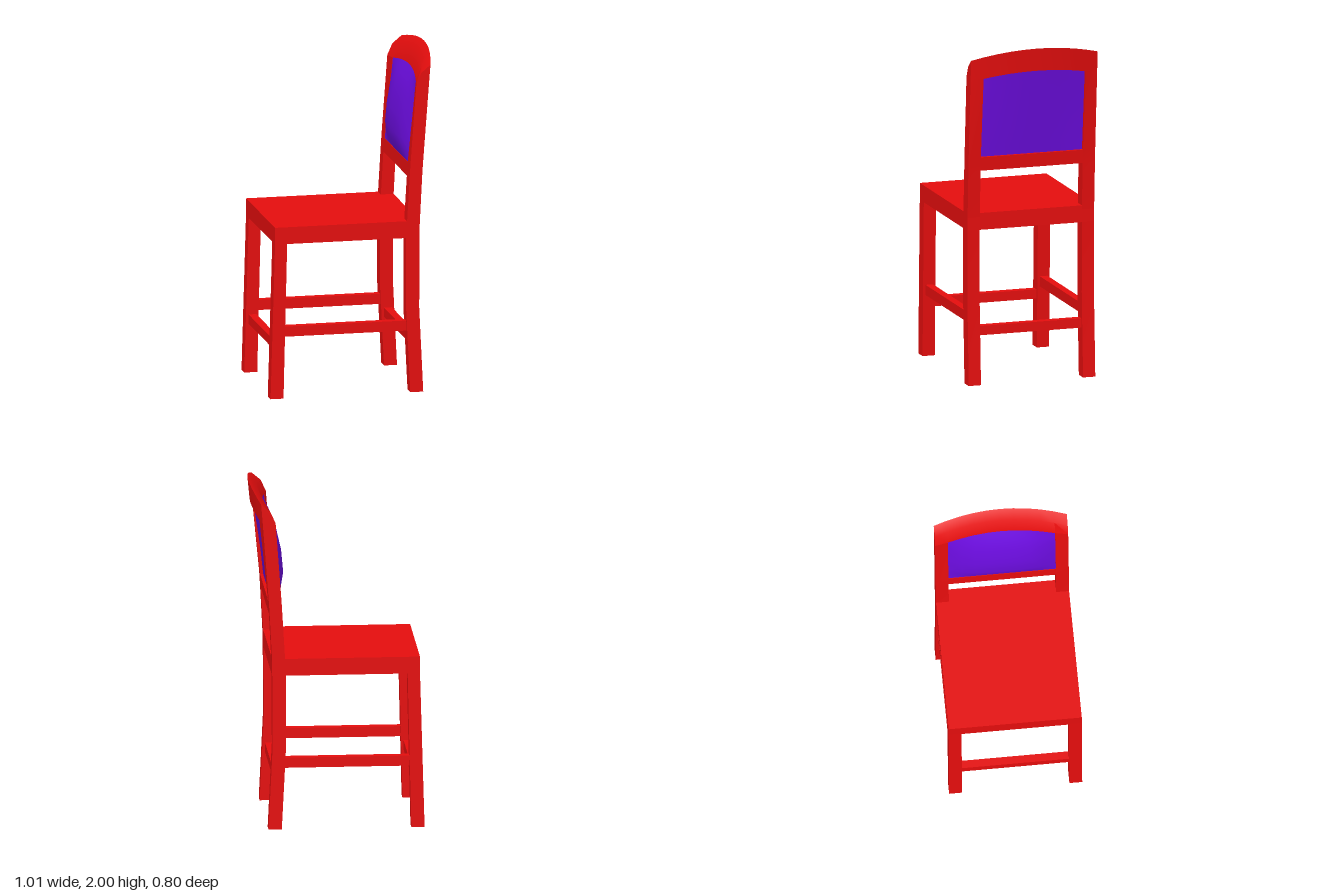
import * as THREE from 'three';
import { toCreasedNormals } from 'three/addons/utils/BufferGeometryUtils.js';

const W = 0.388;      // half width of the chair
const IN = 0.313;     // inner face of legs and posts
const RAIL_TOP = 1.355, POST_TOP = 1.833;

// back post profile: [y, front x, rear x]
const POST = [
  [0, 0.334, 0.411], [0.5, 0.309, 0.387], [0.95, 0.309, 0.388], [1.02, 0.315, 0.391],
  [1.275, 0.33, 0.404], [RAIL_TOP, 0.335, 0.409], [POST_TOP, 0.37, 0.445], [2, 0.383, 0.458],
];

function postX(y, k) {
  let i = 0;
  while (i < POST.length - 2 && POST[i + 1][0] < y) i++;
  const a = POST[i], b = POST[i + 1];
  return THREE.MathUtils.mapLinear(y, a[0], b[0], a[k], b[k]);
}

// backward curve of the backrest, growing with height
function bow(x, y, z) {
  const h = THREE.MathUtils.clamp((y - RAIL_TOP) / 0.59, 0, 1);
  return [x + 0.048 * h * (1 - (z / W) ** 2), y, z];
}

// skin a closed solid over rings of equal point count
function loft(rings) {
  const n = rings[0].length, pos = [];
  const tri = (...p) => p.forEach((v) => pos.push(...v));
  for (let i = 0; i < rings.length - 1; i++) {
    for (let j = 0; j < n; j++) {
      const k = (j + 1) % n, a = rings[i], b = rings[i + 1];
      tri(a[j], a[k], b[k]);
      tri(a[j], b[k], b[j]);
    }
  }
  const s = rings[0], e = rings[rings.length - 1];
  for (let j = 1; j < n - 1; j++) {
    tri(s[0], s[j + 1], s[j]);
    tri(e[0], e[j], e[j + 1]);
  }
  const g = new THREE.BufferGeometry();
  g.setAttribute('position', new THREE.Float32BufferAttribute(pos, 3));
  return toCreasedNormals(g, 0.55);
}

export function createModel() {
  const chair = new THREE.Group();
  chair.name = 'chair';
  const red = new THREE.MeshStandardMaterial({ color: 0xe40d0d });
  const purple = new THREE.MeshStandardMaterial({ color: 0x6a0cdc });

  const add = (name, geometry, material = red) => {
    const mesh = new THREE.Mesh(geometry, material);
    mesh.name = name;
    chair.add(mesh);
  };
  const box = (name, x0, x1, y0, y1, z0, z1) => add(name,
    new THREE.BoxGeometry(x1 - x0, y1 - y0, z1 - z0)
      .translate((x0 + x1) / 2, (y0 + y1) / 2, (z0 + z1) / 2));
  // upright bar from levels of [y, front x, rear x]
  const upright = (name, levels, z0, z1) => add(name, loft(levels.map(([y, f, r]) =>
    [[f, z1], [r, z1], [r, z0], [f, z0]].map(([x, z]) => bow(x, y, z)))));

  box('seat', -0.47, 0.39, 0.92, 1.02, -W, W);

  // legs, back posts and side stretchers on both sides
  for (const [side, z0, z1] of [['near', IN, W], ['far', -W, -IN]]) {
    upright(side + 'FrontLeg', [[0, -0.497, -0.42], [0.93, -0.47, -0.398]], z0, z1);
    upright(side + 'BackPost', POST.slice(0, -1), z0, z1);
    const zc = (z0 + z1) / 2;
    box(side + 'SideStretcher', -0.43, 0.34, 0.365, 0.425, zc - 0.023, zc + 0.023);
  }

  // cross stretchers
  box('frontStretcher', -0.472, -0.426, 0.29, 0.345, -IN, IN);
  box('backStretcher', 0.334, 0.38, 0.29, 0.345, -IN, IN);

  // lower rail of the backrest
  add('lowerBackRail', loft([-IN, IN].map((z) => [
    [postX(1.275, 1), 1.275, z], [postX(1.275, 2), 1.275, z],
    [postX(RAIL_TOP, 2), RAIL_TOP, z], [postX(RAIL_TOP, 1), RAIL_TOP, z],
  ])));

  // arched crest rail, its front sloping back to a thin upper edge
  const crestBottom = (z) => POST_TOP + 0.032 * Math.max(0, 1 - (z / IN) ** 2);
  const crestZ = [-W, -IN, -0.235, -0.157, -0.078, 0, 0.078, 0.157, 0.235, IN, W];
  add('crestRail', loft(crestZ.map((z) => {
    const y = crestBottom(z), rise = 0.055 * (1 - (z / W) ** 2);
    return [
      [postX(y, 1), y], [postX(y, 2), y], [0.454, 1.945 + rise], [0.4, 1.9 + rise],
    ].map(([px, py]) => bow(px, py, z));
  })));

  // padded panel: recessed rear, front bulging between the posts
  const bulge = [[0, 0], [0.12, 0.03], [0.25, 0.053], [0.48, 0.06], [0.73, 0.05], [0.87, 0.03], [1, 0]];
  add('backPanel', loft(crestZ.slice(1, -1).map((z) => {
    const height = crestBottom(z) - RAIL_TOP;
    const swell = 1 - Math.abs(z / IN) ** 3;
    const rear = bulge.map(([t]) => {
      const y = RAIL_TOP + t * height;
      return bow(postX(y, 2) - 0.018, y, z);
    });
    const front = bulge.map(([t, d]) => {
      const y = RAIL_TOP + t * height;
      return bow(postX(y, 1) + 0.003 - d * swell, y, z);
    });
    return [...rear, ...front.reverse()];
  })), purple);

  // the whole chair stands slightly turned
  chair.rotation.y = 0.0235;
  const model = new THREE.Group();
  model.name = 'chairModel';
  model.add(chair);
  return model;
}
